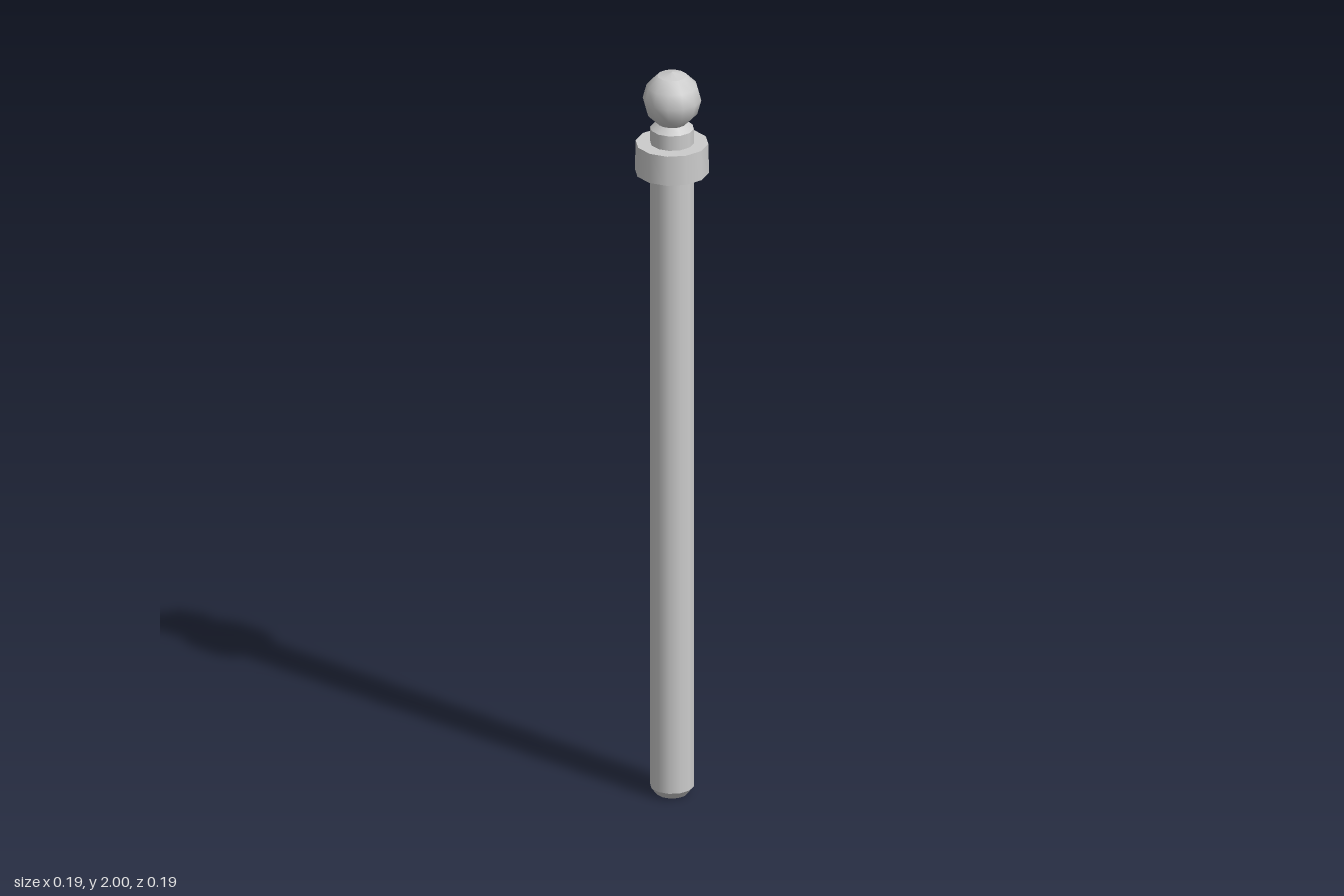
import * as THREE from 'three';
import { mergeGeometries } from 'three/addons/utils/BufferGeometryUtils.js';

const SIDES = 12;
const material = new THREE.MeshStandardMaterial({ color: 0xcccccc });

// Turned part: smooth around the axis, hard edge at every profile corner.
// Profile points are [radius, height], listed from bottom to top.
function turned(name, profile) {
  const bands = [];
  for (let i = 0; i < profile.length - 1; i++) {
    const pair = [profile[i], profile[i + 1]].map(([r, y]) => new THREE.Vector2(r, y));
    bands.push(new THREE.LatheGeometry(pair, SIDES));
  }
  const mesh = new THREE.Mesh(mergeGeometries(bands), material);
  mesh.name = name;
  return mesh;
}

export function createModel() {
  const group = new THREE.Group();
  group.name = 'post';

  // Long shaft with a chamfered foot
  group.add(turned('shaft', [[0, 0], [0.04, 0], [0.056, 0.02], [0.056, 1.725]]));

  // Wide collar
  group.add(turned('collar', [[0.056, 1.725], [0.095, 1.725], [0.093, 1.805], [0.056, 1.805]]));

  // Neck narrowing up to the ball
  group.add(turned('neck', [[0.056, 1.805], [0.056, 1.845], [0.0375, 1.86]]));

  // Ball finial: smooth body with a faceted crown
  const radius = 0.075, centre = 1.925;
  const body = new THREE.Mesh(
    new THREE.SphereGeometry(radius, SIDES, 4, 0, Math.PI * 2, Math.PI / 6, Math.PI * 2 / 3), material);
  body.name = 'ball';
  body.position.y = centre;
  group.add(body);
  group.add(turned('ballCrown', [[radius / 2, centre + radius * Math.cos(Math.PI / 6)], [0, 2]]));

  return group;
}
